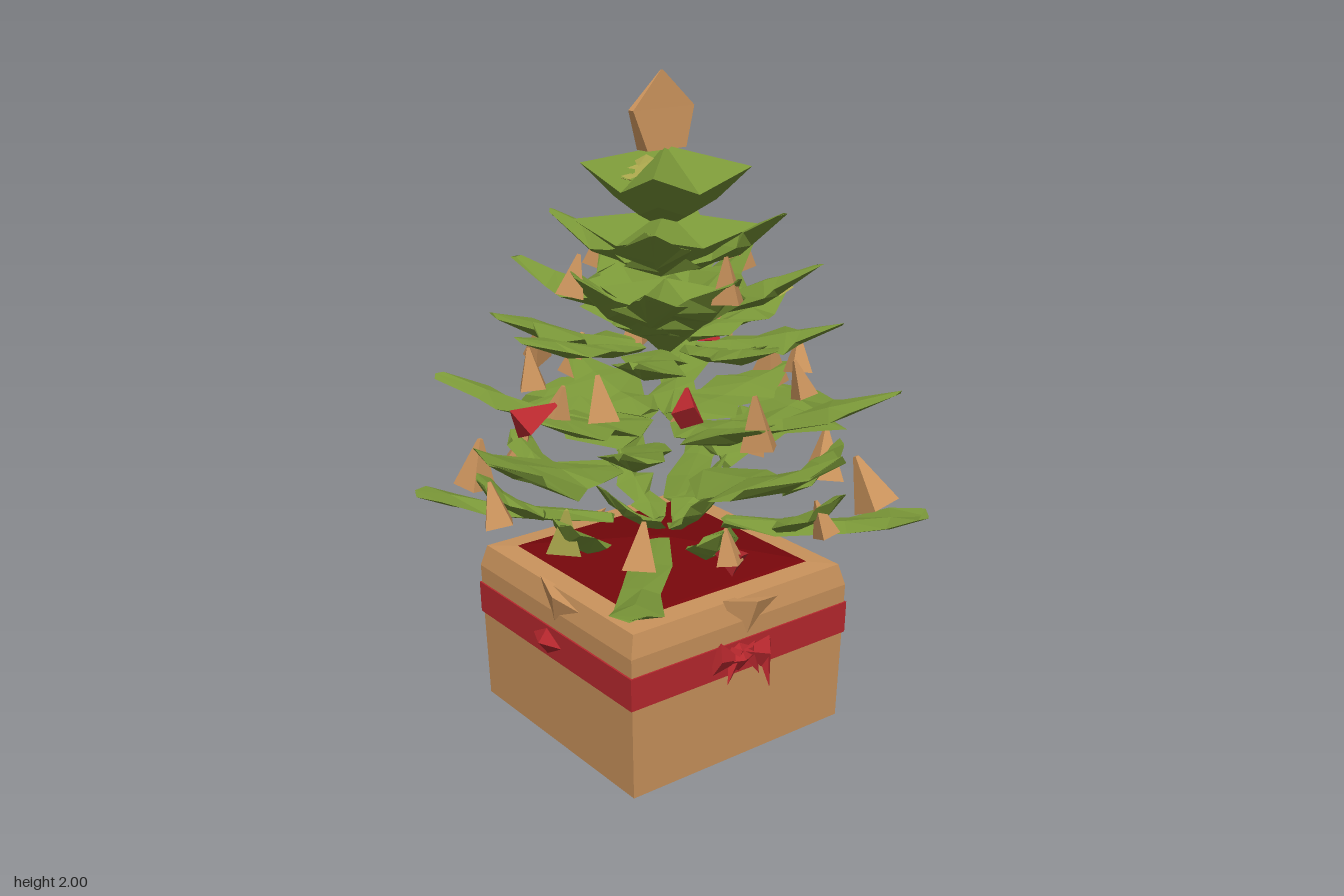
import * as THREE from 'three';

const mat = (name, color) => {
  const m = new THREE.MeshStandardMaterial({ color, flatShading: true, side: THREE.DoubleSide });
  m.name = name;
  return m;
};

// Skin a stack of rings (each counter-clockwise seen from the last ring) and close both ends.
function loft(rings) {
  const pos = [];
  const n = rings[0].length;
  const tri = (a, b, c) => pos.push(...a, ...b, ...c);
  for (let i = 0; i < rings.length - 1; i++) {
    for (let j = 0; j < n; j++) {
      const k = (j + 1) % n;
      const [a, b, c, d] = [rings[i][j], rings[i][k], rings[i + 1][k], rings[i + 1][j]];
      tri(a, b, c);
      tri(a, c, d);
    }
  }
  const first = rings[0], last = rings[rings.length - 1];
  for (let j = 1; j < n - 1; j++) {
    tri(first[0], first[j + 1], first[j]);
    tri(last[0], last[j], last[j + 1]);
  }
  const g = new THREE.BufferGeometry();
  g.setAttribute('position', new THREE.Float32BufferAttribute(pos, 3));
  g.computeVertexNormals();
  return g;
}

const square = (y, hx, hz) => [[hx, y, hz], [hx, y, -hz], [-hx, y, -hz], [-hx, y, hz]];

export function createModel() {
  const green = mat('leaf green', 0x7a9738);
  const lime = mat('pale leaf', 0xaaa64c);
  const tan = mat('tan', 0xca935c);
  const red = mat('ribbon red', 0xb8282e);
  const darkRed = mat('dark red', 0x76070b);

  let seed = 7;
  const rand = () => (seed = (seed * 16807) % 2147483647) / 2147483647;
  const jit = (a) => (rand() - 0.5) * 2 * a;

  const model = new THREE.Group();
  const add = (parent, name, geo, material, x = 0, y = 0, z = 0) => {
    const m = new THREE.Mesh(geo, material);
    m.name = name;
    m.position.set(x, y, z);
    parent.add(m);
    return m;
  };

  // Gift box with a chamfered rim and a shallow peaked lid
  const box = new THREE.Group();
  box.name = 'giftBox';
  box.position.set(-0.01, 0, -0.035);
  model.add(box);
  const HX = 0.408, HZ = 0.405;
  add(box, 'boxBody', loft([
    square(0, 0.395, 0.395), square(0.45, HX, HZ), square(0.518, 0.39, 0.39), square(0.522, 0.31, 0.31),
  ]), tan);
  add(box, 'boxLid', loft([
    square(0.522, 0.32, 0.32), square(0.528, 0.31, 0.31), square(0.582, 0.01, 0.01),
  ]), darkRed);
  add(box, 'ribbonBand', loft([
    square(0.29, HX + 0.002, HZ + 0.002), square(0.392, HX + 0.004, HZ + 0.004),
  ]), red);

  // Paper fold and ribbon pinch on each side; bow tails on the front and left: [x, y, radius, height, tilt]
  const bowTails = [
    [[0.08, 0.29, 0.04, 0.15, 0.05], [-0.05, 0.32, 0.04, 0.11, -0.5], [0.03, 0.32, 0.04, 0.1, 0.3]],
    [[0.075, 0.27, 0.055, 0.18, 0.25], [-0.06, 0.29, 0.025, 0.19, -0.05]],
    [], [],
  ];
  bowTails.forEach((tails, i) => {
    const side = new THREE.Group();
    side.name = 'boxSide';
    side.rotation.y = i * Math.PI / 2;
    box.add(side);
    const fold = add(side, 'paperFold', new THREE.ConeGeometry(0.11, 0.15, 4), tan, 0.02, 0.435, 0.395);
    fold.scale.z = 0.28;
    fold.rotation.set(Math.PI, 0, 0.2);
    const pinch = add(side, 'ribbonPinch', new THREE.OctahedronGeometry(0.05), red, -0.02, 0.342, 0.405);
    pinch.scale.set(1.8, 1, 0.75);
    for (const [x, y, r, h, tilt] of tails) {
      const tail = add(side, 'bowTail', new THREE.ConeGeometry(r, h, 3), red, x, y, 0.42);
      tail.rotation.set(-0.12, 0, Math.PI + tilt);
      tail.scale.z = 0.4;
    }
    if (i === 0) {
      for (const s of [-1, 1]) {
        const loop = add(side, 'bowLoop', new THREE.ConeGeometry(0.05, 0.1, 4), red, s * 0.045 - 0.02, 0.35, 0.42);
        loop.rotation.z = s * Math.PI / 2 - 0.3;
        loop.scale.z = 0.5;
      }
    }
  });

  // Tree
  const tree = new THREE.Group();
  tree.name = 'tree';
  tree.position.z = -0.02;
  model.add(tree);

  // Leaf: sections [position along the leaf, width factor] from the root out to the tip
  const broad = [[0, 0.25], [0.3, 0.7], [0.45, 0.65], [0.72, 1.05], [0.82, 0.9], [1, 0.9]];
  const slim = [[0, 0.25], [0.25, 0.9], [0.38, 0.6], [0.62, 1.1], [0.72, 0.65], [1, 0.15]];
  const spray = [[0, 0.5], [0.3, 0.9], [0.6, 0.8], [0.82, 1], [1, 0.7]];
  function leaf(angle, shape, r0, r1, y0, y1, w, thick, material = green) {
    const rings = shape.map(([t, f], i) => {
      const tip = i === shape.length - 1;
      const x = r0 + (r1 - r0) * t;
      // the midrib dips in the middle so the tip lifts
      const y = y0 + (y1 - y0) * t - 0.02 * Math.sin(Math.PI * t);
      const k = tip ? 0.006 : thick * (0.5 + 0.5 * f);
      const a = w * f * (1 + jit(0.2)), b = w * f * (1 + jit(0.2));
      const back = tip ? -w * f * 0.3 : 0;
      return [
        [x + back + jit(0.02), y + jit(0.015), -a], [x, y + k * 0.35, 0],
        [x + back + jit(0.02), y + jit(0.015), b], [x, y - k * 0.65, 0],
      ];
    });
    add(tree, 'leaf', loft(rings), material).rotation.y = angle;
  }

  // [angle offset, shape, root radius, tip radius, root y, tip y, half width, thickness]
  const D = Math.PI / 4;
  const tiers = [
    [D, spray, 0.17, 0.8, 0.64, 0.685, 0.07, 0.04],
    [0, broad, 0.17, 0.6, 0.84, 0.945, 0.215, 0.05],
    [D, slim, 0.14, 0.7, 0.93, 1.09, 0.08, 0.05],
    [0, slim, 0.07, 0.47, 0.97, 1.06, 0.13, 0.05],
    [D, slim, 0.09, 0.52, 1.2, 1.28, 0.1, 0.05],
    [0, slim, 0.09, 0.49, 1.21, 1.295, 0.085, 0.045],
    [D, slim, 0.02, 0.45, 1.3, 1.45, 0.11, 0.07],
    [0, slim, 0.02, 0.33, 1.25, 1.46, 0.13, 0.07],
    [D, slim, 0.02, 0.34, 1.45, 1.6, 0.11, 0.07],
  ];
  for (const [off, shape, ...dims] of tiers) {
    for (let i = 0; i < 4; i++) leaf(off + i * Math.PI / 2 + jit(0.07), shape, ...dims);
  }
  // Curled leaves hanging below the broad tier, and steep ones near the middle
  for (let i = 0; i < 8; i++) {
    const a = D / 2 + i * D;
    leaf(a, spray, 0.38, 0.58, 0.7, 0.83, 0.06, 0.05);
    if (i % 2) leaf(a + D / 2, slim, 0.03, 0.24, 0.63, 0.8, 0.06, 0.04);
  }
  // Pale leaves at the back, left and on the crown
  leaf(Math.PI / 2, spray, 0.28, 0.42, 1.29, 1.305, 0.08, 0.02, lime);
  leaf(0.05, spray, 0.4, 0.49, 1.3, 1.32, 0.045, 0.015, lime);
  leaf(Math.PI / 2 + 0.3, spray, 0.05, 0.14, 1.768, 1.71, 0.04, 0.015, lime);
  leaf(Math.PI - 0.2, spray, 0.06, 0.14, 1.764, 1.71, 0.035, 0.015, lime);

  // Crown: rosettes with a low peaked top and an underside tapering to a point
  function rosette(yLow, yMid, yCorner, yTop, r) {
    const ring = (f, y) => Array.from({ length: 8 }, (_, i) => {
      const a = i * D, corner = i % 2;
      const q = r * f * (corner ? 1.38 : 0.88);
      return [q * Math.cos(a), corner ? y + (yCorner - yMid) * f : y, -q * Math.sin(a)];
    });
    add(tree, 'crownRosette', loft([ring(0.04, yLow), ring(0.6, (yLow + yMid) / 2 - 0.01), ring(1, yMid), ring(0.04, yTop)]), green);
  }
  rosette(1.17, 1.33, 1.37, 1.4, 0.14);
  rosette(1.42, 1.52, 1.57, 1.6, 0.2);
  rosette(1.55, 1.67, 1.735, 1.785, 0.18);

  // Ornaments: [x, y, z, size, material]
  const ornaments = [
    [-0.3, 1.45, -0.04, 0.055], [0.3, 1.45, -0.04, 0.055], [0, 1.45, 0.27, 0.06], [0, 1.45, -0.34, 0.06],
    [-0.2, 1.15, -0.41, 0.055], [0.19, 1.15, -0.42, 0.055], [0.19, 1.15, 0.36, 0.05], [-0.2, 1.15, 0.34, 0.05, red],
    [-0.37, 1.15, 0.16, 0.06], [-0.36, 1.15, -0.2, 0.055], [0.4, 1.18, -0.23, 0.05], [0.36, 1.15, 0.17, 0.05],
    [0.35, 1.15, -0.25, 0.045, red], [-0.36, 1.08, -0.05, 0.05],
    [-0.44, 1.06, -0.04, 0.06, red], [0.43, 1.07, -0.04, 0.07], [0, 1.07, 0.41, 0.07], [0, 1.07, -0.48, 0.065],
    [-0.18, 0.755, 0.48, 0.05, red], [-0.2, 0.79, 0.52, 0.045], [0.18, 0.76, 0.48, 0.05],
    [-0.19, 0.77, -0.54, 0.06], [0.19, 0.77, -0.55, 0.06],
    [-0.53, 0.78, -0.15, 0.06], [0.52, 0.77, -0.21, 0.07], [0.52, 0.78, 0.13, 0.075], [-0.5, 0.8, 0.18, 0.06, lime],
    [0.42, 0.8, 0.42, 0.075], [-0.41, 0.81, 0.42, 0.06], [-0.42, 0.8, -0.43, 0.07], [0.43, 0.8, -0.43, 0.07],
  ];
  ornaments.forEach(([x, y, z, s, material = tan], i) => {
    // the red ones lie on their side, the others flare downward and lean outward
    const lean = material === red ? 1.4 : 0.3;
    const m = add(model, 'ornament', new THREE.CylinderGeometry(s * 0.12, s * 0.95, s * 2.2, i % 2 ? 4 : 3), material, x, y, z);
    m.rotation.set(-lean * z * 2, i * 0.9, lean * x * 2);
  });

  // Pentagonal tree topper, wedge-shaped in depth
  const topper = add(model, 'treeTopper', loft([
    square(0, 0.072, 0.024), square(0.115, 0.113, 0.011), square(0.22, 0.004, 0.001),
  ]), tan, -0.005, 1.78, -0.03);
  topper.rotation.y = 0.05;

  return model;
}
